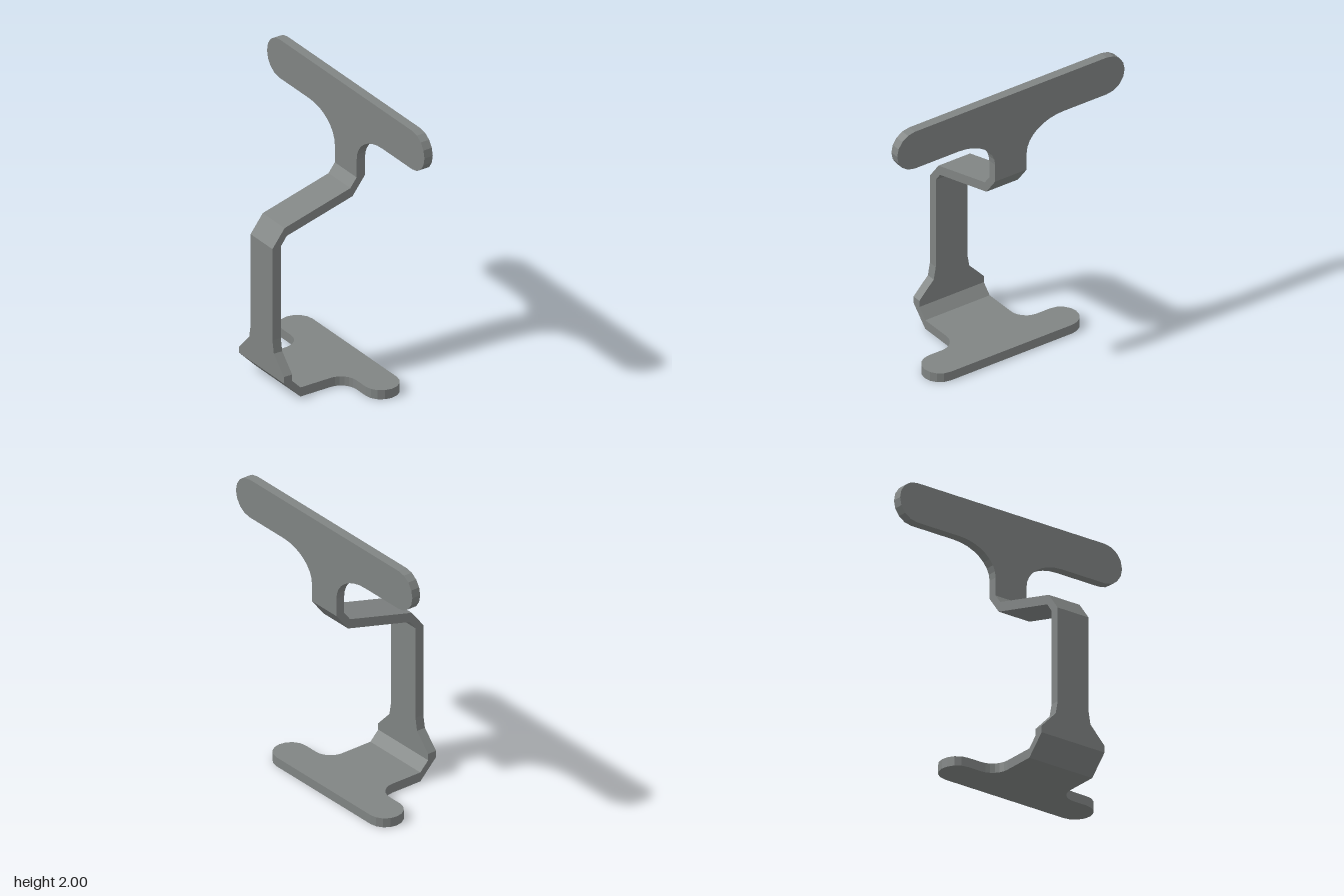
import * as THREE from 'three';

const material = new THREE.MeshStandardMaterial({ color: 0x808483, flatShading: true });

// Mirrors a half outline (shape y >= 0 or x >= 0) and closes it
function mirrored(half, axis) {
  const other = half.map((p) => (axis === 'x' ? new THREE.Vector2(-p.x, p.y) : new THREE.Vector2(p.x, -p.y)));
  return new THREE.Shape([...half, ...other.reverse()]);
}

function arc(cx, cy, rx, ry, fromDeg, toDeg, steps) {
  return Array.from({ length: steps + 1 }, (_, i) => {
    const a = THREE.MathUtils.degToRad(fromDeg + ((toDeg - fromDeg) * i) / steps);
    return new THREE.Vector2(cx + rx * Math.cos(a), cy + ry * Math.sin(a));
  });
}

const points = (list) => list.map(([x, y]) => new THREE.Vector2(x, y));
const extrude = (shape, depth) => new THREE.ExtrudeGeometry(shape, { depth, bevelEnabled: false });

export function createModel() {
  const group = new THREE.Group();
  const add = (name, geometry) => {
    const mesh = new THREE.Mesh(geometry, material);
    mesh.name = name;
    group.add(mesh);
  };

  // Upright plates are outlined in z and y, with their thickness along x
  const upright = (half, x0, x1) =>
    extrude(mirrored(half, 'x'), x1 - x0).rotateY(Math.PI / 2).translate(x0, 0, 0);
  // Bent strips are outlined in x and y, with their width along z
  const strip = (outline, width) =>
    extrude(new THREE.Shape(points(outline)), width).translate(0, 0, -width / 2);

  // Flat T-shaped foot, outlined in x and z
  const foot = mirrored([
    ...points([[-0.233, 0.255]]),
    ...arc(0, 0.375, 0.12, 0.12, -90, 0, 6),
    ...arc(0.241, 0.48, 0.121, 0.12, 180, 0, 8),
  ], 'y');
  add('footPlate', extrude(foot, 0.066).rotateX(Math.PI / 2).translate(0, 0.066, 0));

  // Sloping bend from foot to post
  add('footBend', strip([[-0.233, 0], [-0.233, 0.066], [-0.298, 0.133], [-0.363, 0.133]], 0.51));

  // Post with flared lower end
  add('post', upright(points([
    [0.255, 0.133], [0.255, 0.18], [0.141, 0.3], [0.133, 0.345], [0.125, 0.39], [0.125, 1.055],
  ]), -0.363, -0.298));

  // Offset arm with a bend at each end
  add('offsetArm', strip([
    [-0.363, 1.055], [-0.298, 1.055], [-0.252, 1.118], [0.26, 1.255], [0.357, 1.382],
    [0.292, 1.382], [0.243, 1.318], [-0.268, 1.18],
  ], 0.25));

  // T-shaped head with filleted neck and rounded ends
  add('headPlate', upright([
    ...points([[0.125, 1.382]]),
    ...arc(0.415, 1.51, 0.29, 0.21, 180, 90, 8),
    ...arc(0.76, 1.86, 0.14, 0.14, -90, 90, 8),
  ], 0.292, 0.357));

  return group;
}
